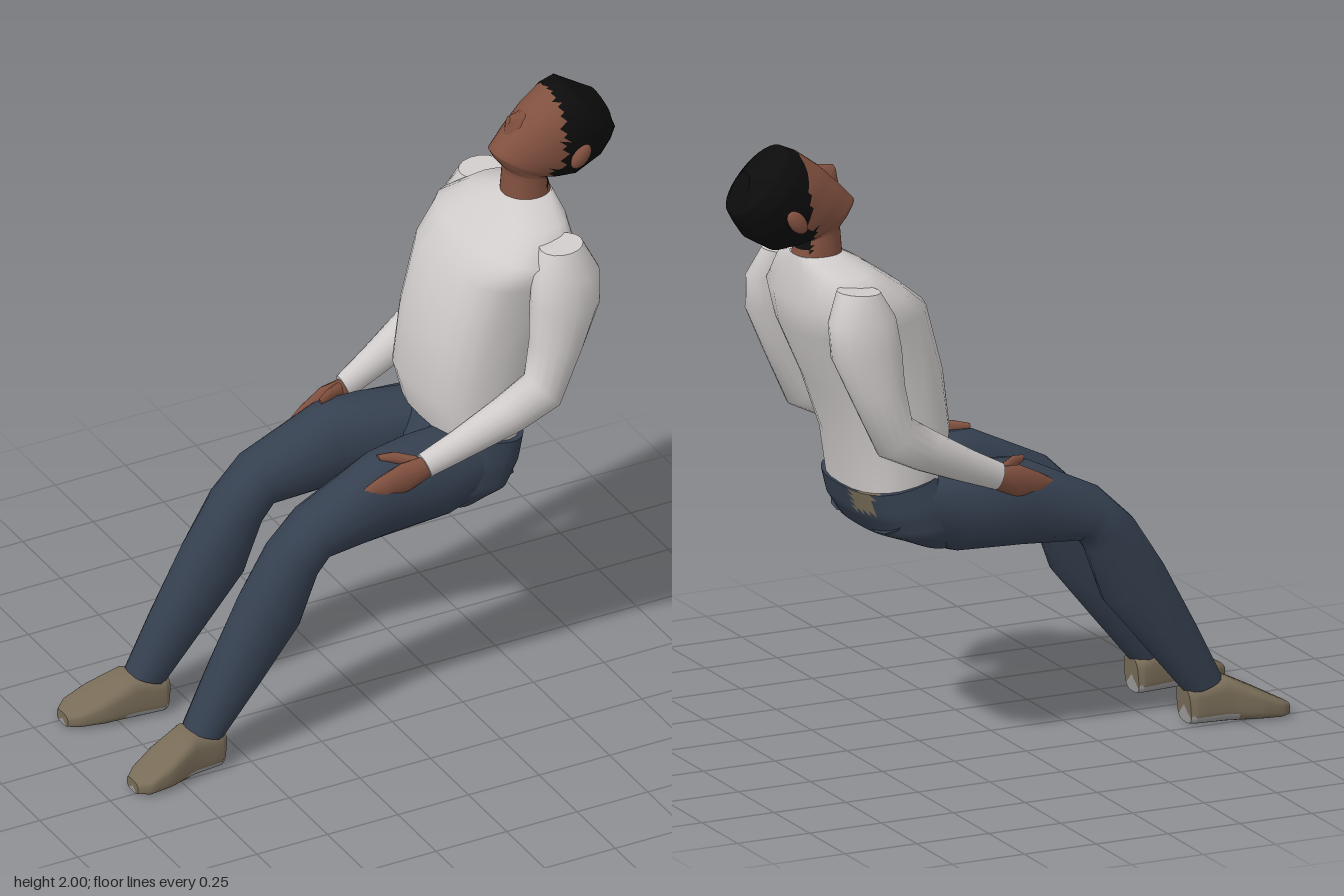
import * as THREE from 'three';

const mat = (name, color) => Object.assign(new THREE.MeshStandardMaterial({ color }), { name });
const shirt = mat('shirt', 0xd0cbcb), denim = mat('denim', 0x354050), skin = mat('skin', 0x80503f),
  hair = mat('hair', 0x0c0c0c), leather = mat('shoe leather', 0x786c58), rubber = mat('sole grey', 0x9c9a9a);

// Loft through rings [frontX, frontY, backX, backY, centreZ, halfZ].
// power > 2 squares the section off; pick(x, y, z) chooses a material index per face.
function loft(name, rings, mats, { power = 2, sides = 16, sub = 1, side = 1, pick = () => 0 } = {}) {
  const fine = [];
  rings.forEach((r, i) => {
    if (i === rings.length - 1) return fine.push(r);
    for (let k = 0; k < sub; k++) fine.push(r.map((v, j) => v + (rings[i + 1][j] - v) * k / sub));
  });
  const pos = [], faces = mats.map(() => []);
  const round = (v) => Math.sign(v) * Math.abs(v) ** (2 / power);
  const addRing = ([fx, fy, bx, by, z, h]) => {
    for (let s = 0; s < sides; s++) {
      const a = s / sides * Math.PI * 2, c = round(Math.cos(a)), d = round(Math.sin(a));
      pos.push((fx + bx) / 2 + c * (fx - bx) / 2, (fy + by) / 2 + c * (fy - by) / 2, side * (z + d * h));
    }
  };
  const at = (i) => new THREE.Vector3().fromArray(pos, i * 3);
  let volume = 0;
  const face = (a, b, c) => {
    const [p, q, r] = [at(a), at(b), at(c)];
    volume += p.dot(q.clone().cross(r));
    const m = p.add(q).add(r).divideScalar(3);
    faces[pick(m.x, m.y, m.z)].push([a, b, c]);
  };
  fine.forEach(addRing);
  for (let i = 0; i < fine.length - 1; i++) for (let s = 0; s < sides; s++) {
    const a = i * sides + s, b = i * sides + (s + 1) % sides;
    face(a, b, b + sides);
    face(a, b + sides, a + sides);
  }
  // End caps with their own vertices
  [fine[0], fine[fine.length - 1]].forEach((r, end) => {
    const base = pos.length / 3;
    addRing(r);
    pos.push((r[0] + r[2]) / 2, (r[1] + r[3]) / 2, side * r[4]);
    for (let s = 0; s < sides; s++) {
      const a = base + s, b = base + (s + 1) % sides;
      end ? face(a, b, base + sides) : face(b, a, base + sides);
    }
  });
  const geo = new THREE.BufferGeometry(), index = [];
  faces.forEach((list, m) => {
    geo.addGroup(index.length, list.length * 3, m);
    list.forEach(([a, b, c]) => index.push(...(volume < 0 ? [a, c, b] : [a, b, c])));
  });
  geo.setAttribute('position', new THREE.Float32BufferAttribute(pos, 3));
  geo.setIndex(index);
  geo.computeVertexNormals();
  const mesh = new THREE.Mesh(geo, mats.length > 1 ? mats : mats[0]);
  mesh.name = name;
  return mesh;
}

export function createModel() {
  const model = new THREE.Group();
  model.name = 'recliningPerson';

  // Torso, leaning back
  model.add(loft('torso', [
    [0.23, 0.92, 0.52, 0.855, 0, 0.235],
    [0.19, 1.05, 0.55, 1.03, 0, 0.238],
    [0.215, 1.25, 0.615, 1.21, 0, 0.245],
    [0.275, 1.47, 0.70, 1.40, 0, 0.26],
    [0.37, 1.545, 0.71, 1.50, 0, 0.3],
    [0.46, 1.605, 0.695, 1.60, 0, 0.21],
    [0.53, 1.645, 0.685, 1.642, 0, 0.08],
  ], [shirt], { power: 2.5, sides: 24 }));

  // Hips, with a small patch showing at the back of the waistband
  model.add(loft('hips', [
    [0.25, 0.93, 0.53, 0.875, 0, 0.248],
    [0.19, 0.85, 0.51, 0.80, 0, 0.265],
    [0.19, 0.76, 0.465, 0.735, 0, 0.265],
    [0.22, 0.68, 0.36, 0.70, 0, 0.22],
  ], [denim, leather], {
    power: 2.6, sides: 48, sub: 4,
    pick: (x, y, z) => (x > 0.45 && y > 0.81 && z > -0.18 && z < -0.07 ? 1 : 0),
  }));

  // Neck and head, tilted back; hair covers everything behind the hairline
  model.add(loft('head', [
    [0.525, 1.62, 0.69, 1.62, 0, 0.08],
    [0.535, 1.73, 0.67, 1.69, 0, 0.075],
    [0.50, 1.775, 0.68, 1.685, 0, 0.078],
    [0.485, 1.805, 0.72, 1.675, 0, 0.09],
    [0.54, 1.865, 0.77, 1.67, 0, 0.11],
    [0.605, 1.925, 0.855, 1.72, 0, 0.128],
    [0.68, 1.98, 0.885, 1.765, 0, 0.128],
    [0.725, 2.0, 0.905, 1.80, 0, 0.11],
    [0.85, 1.93, 0.895, 1.83, 0, 0.05],
  ], [skin, hair], {
    power: 2.1, sides: 32, sub: 5,
    pick: (x, y) => (y > 1.66 && x > (y > 1.75 ? 0.685 : 0.65) ? 1 : 0),
  }));
  model.add(loft('nose', [
    [0.615, 1.925, 0.53, 1.85, 0, 0.032],
    [0.55, 1.917, 0.54, 1.89, 0, 0.012],
  ], [skin], { sides: 8 }));

  for (const side of [1, -1]) {
    const label = side > 0 ? 'left' : 'right';
    const part = (name, rings, mats, opts) => model.add(loft(label + name, rings, mats, { side, ...opts }));

    const ear = new THREE.Mesh(new THREE.SphereGeometry(1, 10, 8), skin);
    ear.name = label + 'Ear';
    ear.scale.set(0.028, 0.045, 0.018);
    ear.position.set(0.735, 1.785, side * 0.128);
    ear.rotation.z = -0.7;
    model.add(ear);

    // Sleeve from shoulder to wrist
    part('Sleeve', [
      [0.52, 1.575, 0.66, 1.585, 0.265, 0.065],
      [0.48, 1.50, 0.705, 1.49, 0.292, 0.077],
      [0.465, 1.40, 0.70, 1.38, 0.303, 0.08],
      [0.46, 1.28, 0.635, 1.24, 0.312, 0.077],
      [0.44, 1.165, 0.545, 1.05, 0.32, 0.07],
      [0.34, 1.10, 0.41, 0.985, 0.31, 0.063],
      [0.20, 1.015, 0.26, 0.925, 0.287, 0.048],
      [0.09, 0.955, 0.12, 0.872, 0.268, 0.036],
    ], [shirt]);

    // Hand resting on the thigh
    part('Hand', [
      [0.12, 0.945, 0.14, 0.885, 0.27, 0.03],
      [0.03, 0.94, 0.045, 0.835, 0.262, 0.028],
      [-0.05, 0.90, -0.03, 0.825, 0.25, 0.022],
      [-0.10, 0.868, -0.085, 0.835, 0.24, 0.011],
    ], [skin], { sides: 10 });
    part('Thumb', [
      [0.085, 0.945, 0.085, 0.90, 0.25, 0.022],
      [0.03, 0.957, 0.03, 0.915, 0.215, 0.018],
      [-0.02, 0.947, -0.015, 0.925, 0.19, 0.01],
    ], [skin], { sides: 8 });

    // Trouser leg from hip over the knee to the ankle
    part('Leg', [
      [0.27, 0.925, 0.47, 0.745, 0.135, 0.125],
      [0.12, 0.94, 0.22, 0.66, 0.152, 0.125],
      [-0.02, 0.935, 0.0, 0.655, 0.172, 0.108],
      [-0.28, 0.81, -0.215, 0.645, 0.183, 0.095],
      [-0.395, 0.70, -0.245, 0.60, 0.182, 0.092],
      [-0.50, 0.54, -0.305, 0.43, 0.182, 0.09],
      [-0.62, 0.31, -0.45, 0.255, 0.187, 0.078],
      [-0.70, 0.145, -0.58, 0.10, 0.19, 0.066],
    ], [denim], { power: 2.2 });

    // Shoe, with pale sole and heel edge
    part('Shoe', [
      [-0.575, 0.115, -0.585, 0, 0.185, 0.05],
      [-0.60, 0.125, -0.60, 0, 0.187, 0.066],
      [-0.70, 0.148, -0.70, 0, 0.197, 0.07],
      [-0.80, 0.098, -0.80, 0, 0.217, 0.078],
      [-0.875, 0.058, -0.875, 0, 0.23, 0.066],
      [-0.91, 0.04, -0.91, 0, 0.23, 0.036],
    ], [leather, rubber], {
      power: 3.4, sides: 32, sub: 3,
      pick: (x, y) => (y < 0.008 || (x > -0.74 && y < 0.03) ? 1 : 0),
    });
  }
  return model;
}
